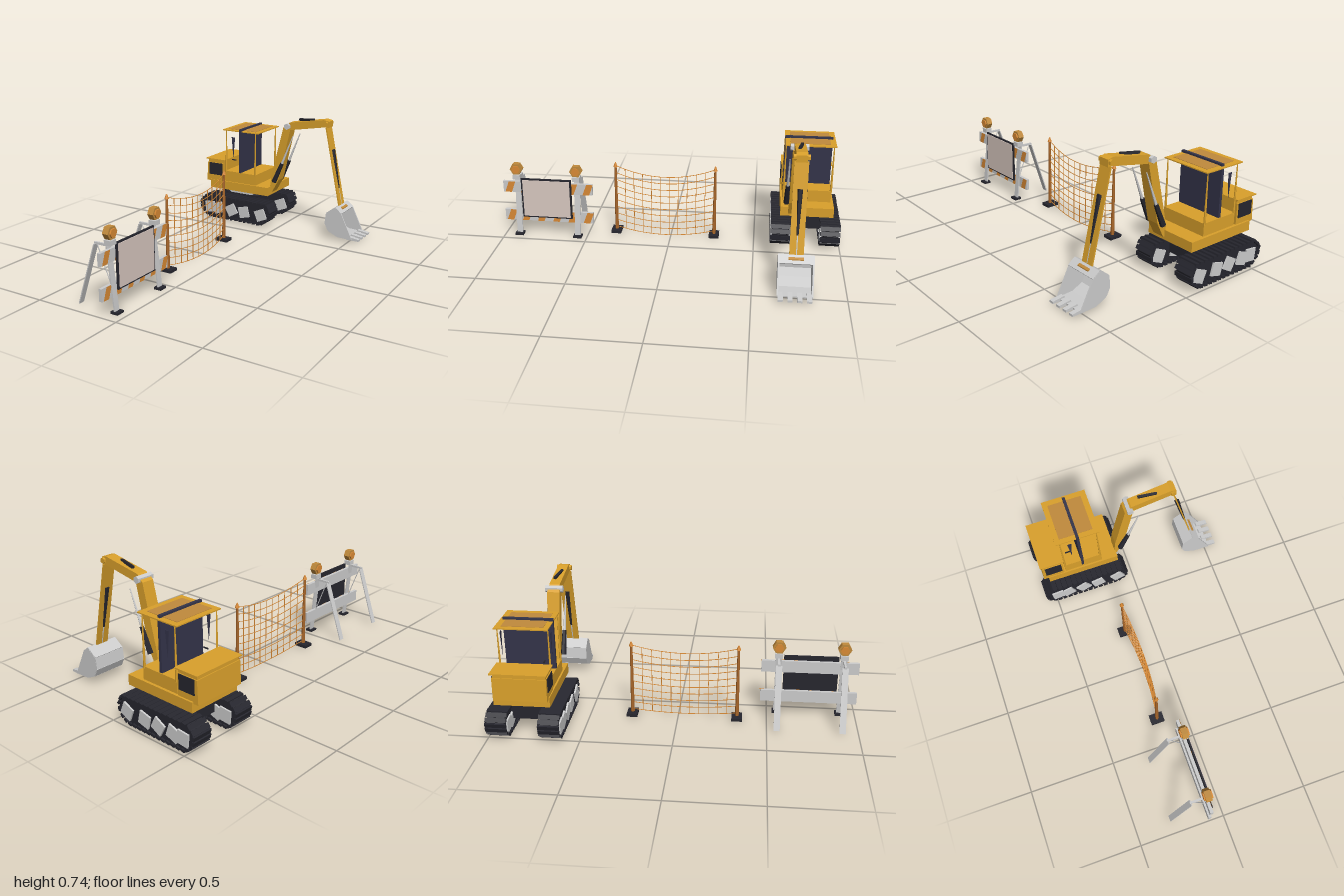
import * as THREE from 'three';

const mat = (color) => new THREE.MeshStandardMaterial({ color, flatShading: true, side: THREE.DoubleSide });
const yellow = mat(0xd9a02b), amber = mat(0xc08a3c), dark = mat(0x26262e), glass = mat(0x34344a);
const grey = mat(0xcccccc), orange = mat(0xd98a35), rust = mat(0xa8662a), cream = mat(0xd8c8c0);

export function createModel() {
  const root = new THREE.Group();
  const section = (name) => {
    const g = new THREE.Group();
    g.name = name;
    root.add(g);
    return g;
  };
  const put = (parent, name, geometry, material) => {
    const m = new THREE.Mesh(geometry, material);
    m.name = name;
    parent.add(m);
    return m;
  };
  // Box given by its minimum and maximum on each axis
  const box = (parent, name, material, x0, x1, y0, y1, z0, z1) => {
    const m = put(parent, name, new THREE.BoxGeometry(x1 - x0, y1 - y0, z1 - z0), material);
    m.position.set((x0 + x1) / 2, (y0 + y1) / 2, (z0 + z1) / 2);
    return m;
  };
  // Outline in x and y, extruded from z0 to z1
  const plate = (parent, name, material, points, z0, z1) => {
    const shape = new THREE.Shape(points.map(([x, y]) => new THREE.Vector2(x, y)));
    const g = new THREE.ExtrudeGeometry(shape, { depth: z1 - z0, bevelEnabled: false });
    return put(parent, name, g.translate(0, 0, z0), material);
  };
  // Straight bar between two points
  const bar = (parent, name, material, a, b, w, d = w) => {
    const p = new THREE.Vector3(...a), q = new THREE.Vector3(...b);
    const m = put(parent, name, new THREE.BoxGeometry(w, p.distanceTo(q), d), material);
    m.position.copy(p).add(q).multiplyScalar(0.5);
    m.quaternion.setFromUnitVectors(new THREE.Vector3(0, 1, 0), q.sub(p).normalize());
    return m;
  };
  // Tapered round bar, r0 at a and r1 at b
  const cone = (parent, name, material, a, b, r0, r1) => {
    const p = new THREE.Vector3(...a), q = new THREE.Vector3(...b);
    const m = put(parent, name, new THREE.CylinderGeometry(r1, r0, p.distanceTo(q), 6), material);
    m.position.copy(p).add(q).multiplyScalar(0.5);
    m.quaternion.setFromUnitVectors(new THREE.Vector3(0, 1, 0), q.sub(p).normalize());
    return m;
  };

  // Crawler tracks with treads and square-looking wheels
  const outline = [[-0.50, 0.02], [-0.10, 0.02], [-0.05, 0.055], [-0.038, 0.10], [-0.06, 0.155],
    [-0.51, 0.16], [-0.555, 0.12], [-0.55, 0.065]];
  for (const [z0, z1, name] of [[-0.70, -0.605, 'frontTrack'], [-0.985, -0.89, 'rearTrack']]) {
    const track = section(name);
    plate(track, 'trackBelt', dark, outline, z0, z1);
    outline.forEach(([x, y], i) => {
      const [u, v] = outline[(i + 1) % outline.length];
      const length = Math.hypot(u - x, v - y), n = Math.max(1, Math.round(length / 0.033));
      for (let k = 0; k < n; k++) {
        const t = (k + 0.5) / n;
        const tread = put(track, 'tread', new THREE.BoxGeometry(0.024, 0.014, z1 - z0 + 0.02), dark);
        tread.position.set(x + (u - x) * t, y + (v - y) * t, (z0 + z1) / 2);
        tread.rotation.z = Math.atan2(v - y, u - x) + 0.2;
      }
    });
    [[-0.485, 0.1], [-0.42, 0.35], [-0.32, 0.5], [-0.225, 0.25], [-0.1, 0.4]].forEach(([x, turn]) => {
      for (const z of [z0 - 0.004, z1 + 0.004]) {
        const wheel = put(track, 'wheel', new THREE.BoxGeometry(0.072, 0.072, 0.012), grey);
        wheel.position.set(x, 0.083, z);
        wheel.rotation.z = turn;
      }
    });
  }

  // Undercarriage and deck
  const body = section('body');
  plate(body, 'turntable', grey, [[-0.38, 0.175], [-0.22, 0.175], [-0.20, 0.2], [-0.41, 0.2]], -0.88, -0.70);
  box(body, 'axleFrame', dark, -0.42, -0.18, 0.08, 0.175, -0.89, -0.70);
  box(body, 'deck', yellow, -0.51, -0.075, 0.205, 0.26, -0.95, -0.645);

  // Engine housing behind the cab
  plate(body, 'engineHousing', yellow, [[-0.54, 0.25], [-0.41, 0.25], [-0.41, 0.375], [-0.535, 0.375]], -0.94, -0.65);
  box(body, 'engineTop', yellow, -0.53, -0.41, 0.375, 0.398, -0.935, -0.655);
  box(body, 'engineLid', yellow, -0.545, -0.40, 0.397, 0.403, -0.95, -0.645);
  for (const z of [-0.943, -0.647]) box(body, 'engineGrille', dark, -0.52, -0.42, 0.295, 0.375, z - 0.002, z + 0.002);

  // Cab
  const cab = section('cab');
  box(cab, 'cabSill', yellow, -0.40, -0.17, 0.26, 0.33, -0.935, -0.655);
  box(cab, 'cabPartition', glass, -0.297, -0.28, 0.275, 0.62, -0.93, -0.655);
  for (const z of [-0.932, -0.66]) {
    for (const x of [-0.395, -0.177]) cone(cab, 'cabPost', yellow, [x, 0.32, z], [x, 0.605, z], 0.007, 0.003);
    plate(cab, 'sidePane', glass, [[-0.342, 0.425], [-0.33, 0.562], [-0.355, 0.562]], z - 0.001, z + 0.001);
  }
  bar(cab, 'controlLever', dark, [-0.375, 0.4, -0.7], [-0.345, 0.4, -0.7], 0.006);
  box(cab, 'roof', yellow, -0.42, -0.157, 0.602, 0.608, -0.945, -0.655);
  box(cab, 'roofHatch', amber, -0.39, -0.19, 0.607, 0.61, -0.912, -0.685);

  // Boom, dipper arm and rams
  const arm = section('diggingArm');
  plate(arm, 'lowerBoom', yellow, [[-0.085, 0.22], [-0.065, 0.225], [-0.02, 0.31], [0.058, 0.655],
    [0.035, 0.685], [0.008, 0.66], [-0.07, 0.34]], -0.76, -0.69);
  plate(arm, 'upperBoom', yellow, [[0.04, 0.645], [0.29, 0.69], [0.318, 0.69], [0.318, 0.728],
    [0.285, 0.735], [0.05, 0.695], [0.025, 0.675]], -0.755, -0.695);
  cone(arm, 'elbowPin', grey, [0.038, 0.67, -0.775], [0.038, 0.67, -0.675], 0.02, 0.02);
  cone(arm, 'tipPin', yellow, [0.3, 0.712, -0.768], [0.3, 0.712, -0.682], 0.016, 0.016);
  bar(arm, 'dipperArm', yellow, [0.303, 0.69, -0.725], [0.41, 0.2, -0.725], 0.008, 0.075);
  for (const z of [-0.775, -0.675]) {
    cone(arm, 'boomRam', dark, [-0.045, 0.3, z], [0.012, 0.43, z], 0.016, 0.012);
    cone(arm, 'boomRamRod', grey, [0.012, 0.43, z], [0.085, 0.615, z], 0.008, 0.003);
  }
  cone(arm, 'bucketRam', dark, [0.335, 0.55, -0.725], [0.385, 0.31, -0.725], 0.016, 0.008);
  cone(arm, 'bucketRamRod', grey, [0.385, 0.31, -0.725], [0.41, 0.2, -0.725], 0.006, 0.005);
  bar(arm, 'upperHose', dark, [0.1, 0.713, -0.735], [0.21, 0.724, -0.715], 0.014);

  // Bucket: two cheeks, a folded shell and four teeth
  const bucket = section('bucket');
  const curve = [[0.45, 0.175], [0.41, 0.207], [0.352, 0.165], [0.345, 0.1], [0.367, 0.055], [0.43, 0.026], [0.525, 0.022]];
  for (const z of [-0.82, -0.639]) plate(bucket, 'bucketCheek', grey, curve, z, z + 0.008);
  for (let i = 0; i < curve.length - 1; i++) {
    bar(bucket, 'bucketShell', grey, [...curve[i], -0.725], [...curve[i + 1], -0.725], 0.007, 0.188);
  }
  for (let i = 0; i < 4; i++) {
    const z = -0.8 + i * 0.05;
    plate(bucket, 'tooth', grey, [[0.49, 0.015], [0.57, 0.015], [0.57, 0.027], [0.5, 0.036]], z - 0.013, z + 0.013);
  }
  cone(bucket, 'bucketPin', amber, [0.425, 0.188, -0.765], [0.425, 0.188, -0.685], 0.014, 0.014);

  // Safety fence: two posts with a sagging, bowed net
  const fence = section('safetyFence');
  for (const z of [-0.26, 0.333]) {
    box(fence, 'postBase', dark, -0.21, -0.13, 0.003, 0.02, z - 0.03, z + 0.03);
    cone(fence, 'fencePost', rust, [-0.168, 0.015, z], [-0.168, 0.43, z], 0.011, 0.007);
    cone(fence, 'postTip', orange, [-0.168, 0.425, z], [-0.168, 0.452, z], 0.013, 0.003);
  }
  const netPoint = (u, v) => {
    const bow = 4 * u * (1 - u);
    return [-0.168 + 0.024 * bow, 0.035 + 0.395 * v - bow * (0.03 + 0.02 * v), -0.255 + 0.583 * u];
  };
  const rows = 9, columns = 11;
  for (let i = 0; i <= columns; i++) {
    for (let j = 0; j <= rows; j++) {
      const u = i / columns, v = j / rows;
      if (i < columns) bar(fence, 'netStrand', orange, netPoint(u, v), netPoint(u + 1 / columns, v), 0.003);
      if (j < rows) bar(fence, 'netStrand', orange, netPoint(u, v), netPoint(u, v + 1 / rows), 0.003);
    }
  }

  // Road barricade
  const barricade = section('barricade');
  for (const z of [0.555, 0.913]) {
    bar(barricade, 'upright', grey, [-0.065, 0.01, z], [-0.1, 0.355, z], 0.008, 0.034);
    bar(barricade, 'rearLeg', grey, [-0.295, 0.003, z], [-0.178, 0.345, z], 0.006, 0.034);
    bar(barricade, 'hinge', grey, [-0.185, 0.348, z], [-0.095, 0.35, z], 0.012, 0.012);
    bar(barricade, 'brace', grey, [-0.168, 0.34, z], [-0.09, 0.14, z], 0.004);
    box(barricade, 'foot', dark, -0.085, -0.04, 0, 0.012, z - 0.025, z + 0.025);
    // Warning lamp
    box(barricade, 'lampBase', grey, -0.108, -0.067, 0.355, 0.382, z - 0.022, z + 0.022);
    cone(barricade, 'lampRim', amber, [-0.105, 0.418, z], [-0.07, 0.418, z], 0.037, 0.037);
    cone(barricade, 'lampLens', orange, [-0.113, 0.418, z], [-0.062, 0.418, z], 0.025, 0.025);
  }
  // Boards with slanted stripes on the front
  for (const y of [0.085, 0.268]) {
    box(barricade, 'board', grey, -0.098, -0.08, y, y + 0.068, 0.46, 1.0);
    for (let z = 0.475; z < 0.96; z += 0.094) {
      const shape = new THREE.Shape([[0, 0], [0.04, 0], [0.065, 0.068], [0.025, 0.068]].map((p) => new THREE.Vector2(...p)));
      const stripe = put(barricade, 'stripe', new THREE.ShapeGeometry(shape), orange);
      stripe.rotation.y = Math.PI / 2;
      stripe.position.set(-0.078, y, z + 0.045);
    }
  }
  // Blank sign panel
  box(barricade, 'signBacking', dark, -0.078, -0.068, 0.113, 0.362, 0.585, 0.888);
  box(barricade, 'signFace', cream, -0.069, -0.064, 0.122, 0.353, 0.595, 0.878);

  return root;
}
